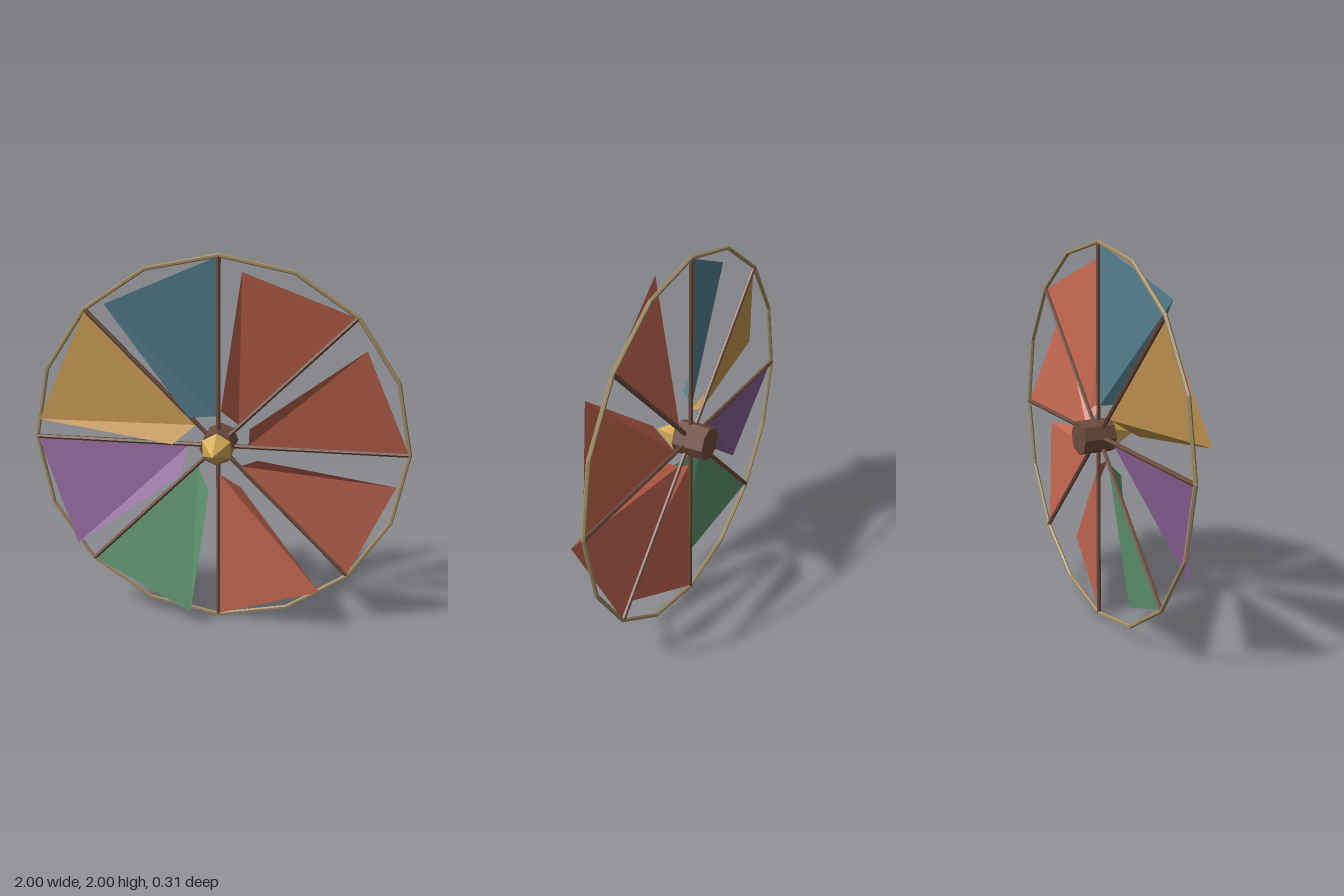
import * as THREE from 'three';

const mat = (name, color, extra = {}) => {
  const m = new THREE.MeshStandardMaterial({ color, flatShading: true, ...extra });
  m.name = name;
  return m;
};
const cloth = (name, color) => mat(name, color, { side: THREE.DoubleSide });

const PLANE_Z = -0.045; // plane of the wheel

// Folded four-cornered sail: one edge on the arm (+x), the other billowing forward
function sailGeometry() {
  const innerArm = [0.16, 0.008, -0.04], outerArm = [0.98, 0.008, -0.04];
  const outerFree = [0.75, 0.56, 0.072], innerFree = [0.18, 0.135, 0.072];
  const g = new THREE.BufferGeometry();
  g.setAttribute('position', new THREE.Float32BufferAttribute([
    innerArm, outerArm, outerFree,
    innerArm, outerFree, innerFree,
  ].flat(), 3));
  g.computeVertexNormals();
  return g;
}

export function createModel() {
  const wood = mat('darkWood', 0x6e4c3e);
  const rope = mat('rimTan', 0xa08c66);
  const brass = mat('brass', 0xd2aa55);
  const red = cloth('redCloth', 0xc2654f);
  const blue = cloth('blueCloth', 0x557f8e);
  const ochre = cloth('ochreCloth', 0xc59650);
  const purple = cloth('purpleCloth', 0x8c6398);
  const green = cloth('greenCloth', 0x5f946f);

  const model = new THREE.Group();
  model.name = 'sailWheel';
  const wheel = new THREE.Group();
  wheel.name = 'wheel';
  wheel.position.y = 1;
  model.add(wheel);

  const add = (name, geo, material, parent = wheel) => {
    const mesh = new THREE.Mesh(geo, material);
    mesh.name = name;
    parent.add(mesh);
    return mesh;
  };

  // Sixteen-sided rim
  add('rim', new THREE.TorusGeometry(0.987, 0.011, 6, 16), rope).position.z = PLANE_Z;

  // Axle hub and pointed cap
  const hub = new THREE.CylinderGeometry(0.09, 0.09, 0.175, 8).rotateX(Math.PI / 2);
  add('hub', hub, wood).position.z = -0.07;
  const cap = new THREE.ConeGeometry(0.086, 0.138, 6).rotateX(Math.PI / 2);
  add('hubCap', cap, brass).position.z = 0.087;

  // Eight arms, each carrying a sail, counter-clockwise from +x
  const arm = new THREE.CylinderGeometry(0.012, 0.012, 0.985, 6)
    .rotateZ(-Math.PI / 2).translate(0.4925, 0, PLANE_Z);
  const sail = sailGeometry();
  [red, red, blue, ochre, purple, green, red, red].forEach((colour, i) => {
    const blade = new THREE.Group();
    blade.name = `blade${i + 1}`;
    blade.rotation.z = i * Math.PI / 4;
    add('arm', arm, wood, blade);
    add('sail', sail, colour, blade);
    wheel.add(blade);
  });

  return model;
}
